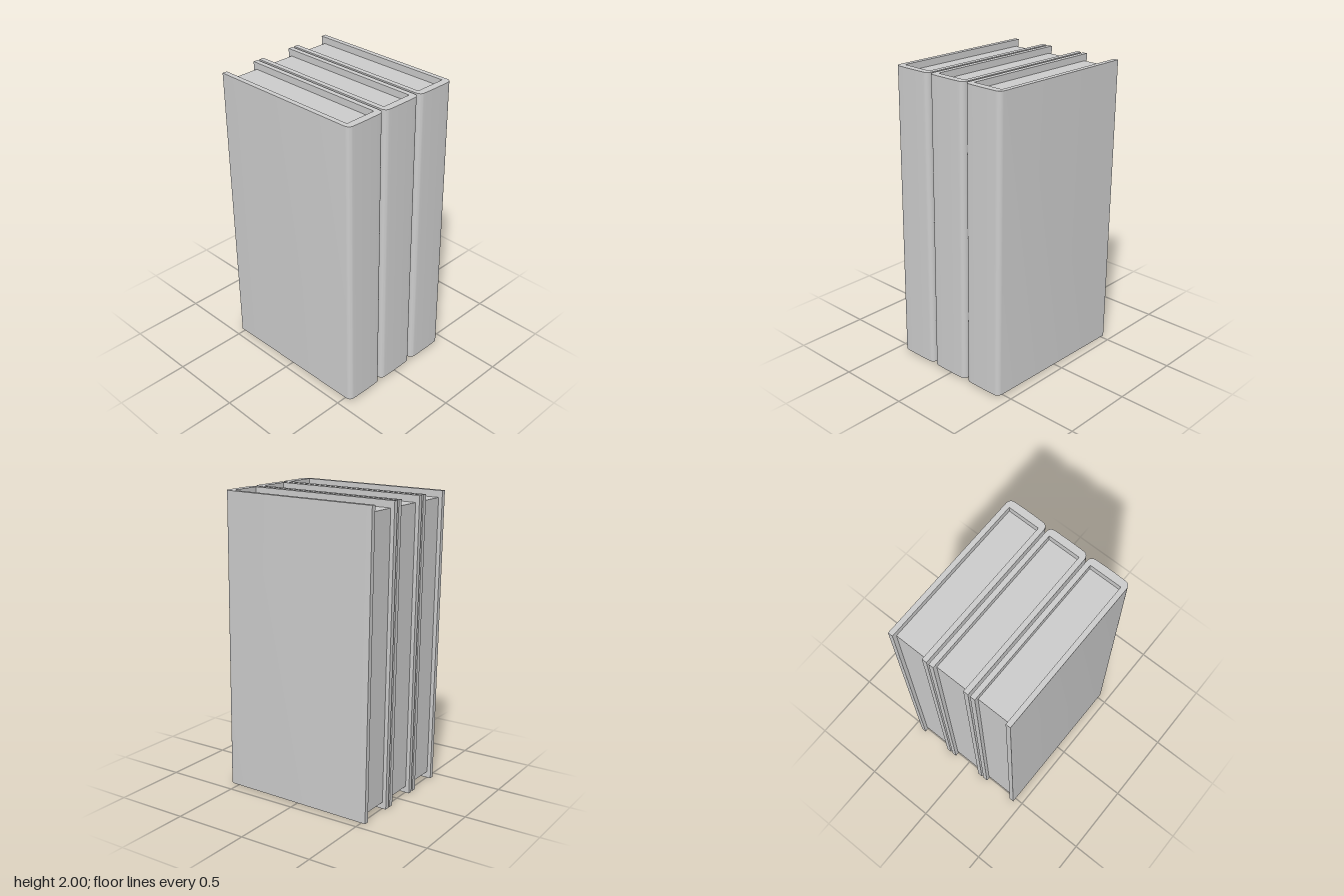
import * as THREE from 'three';
import { toCreasedNormals } from 'three/addons/utils/BufferGeometryUtils.js';

const WIDTH = 0.283, DEPTH = 1.086, HEIGHT = 1.984;
const BOARD = 0.033, SPINE = 0.05, PITCH = 0.2985, TILT = 0.0145;
const RECESS = 0.045, FORE_EDGE = 0.026;

// U-shaped cover: two boards joined by a spine with rounded corners.
// Shape y maps to -z, so the spine lies at negative shape y.
function coverGeometry() {
  const w = WIDTH / 2, d = DEPTH / 2, rx = 0.035, rz = 0.042;
  const s = new THREE.Shape();
  s.moveTo(-w, d);
  s.lineTo(-w, -d + rz);
  s.bezierCurveTo(-w, -d + rz * 0.4, -w + rx * 0.4, -d + 0.002, -w + rx, -d + 0.002);
  s.quadraticCurveTo(0, -d - 0.002, w - rx, -d + 0.002);
  s.bezierCurveTo(w - rx * 0.4, -d + 0.002, w, -d + rz * 0.4, w, -d + rz);
  s.lineTo(w, d);
  s.lineTo(w - BOARD, d);
  s.lineTo(w - BOARD, -d + SPINE);
  s.lineTo(-w + BOARD, -d + SPINE);
  s.lineTo(-w + BOARD, d);
  s.closePath();
  const g = new THREE.ExtrudeGeometry(s, { depth: HEIGHT, bevelEnabled: false, curveSegments: 8 });
  g.rotateX(-Math.PI / 2);
  g.translate(0, -HEIGHT / 2, 0);
  return toCreasedNormals(g, Math.PI / 5);
}

// Page block, set back from the cover at the top, bottom and fore edge
function pagesGeometry() {
  const overlap = 0.004;
  const back = -DEPTH / 2 + FORE_EDGE, front = DEPTH / 2 - SPINE + overlap;
  const g = new THREE.BoxGeometry(WIDTH - 2 * BOARD + 2 * overlap, HEIGHT - 2 * RECESS, front - back);
  g.translate(0, 0, (front + back) / 2);
  return g;
}

export function createModel() {
  const model = new THREE.Group();
  model.name = 'books';
  const material = new THREE.MeshStandardMaterial({ color: 0xcccccc });
  const coverGeo = coverGeometry(), pagesGeo = pagesGeometry();

  // Three upright books in a row, leaning back slightly
  ['rightBook', 'middleBook', 'leftBook'].forEach((name, i) => {
    const book = new THREE.Group();
    book.name = name;
    const cover = new THREE.Mesh(coverGeo, material);
    cover.name = 'cover';
    const pages = new THREE.Mesh(pagesGeo, material);
    pages.name = 'pages';
    book.add(cover, pages);
    book.position.set((i - 1) * PITCH, 1, 0);
    book.rotation.x = -TILT;
    model.add(book);
  });
  return model;
}
